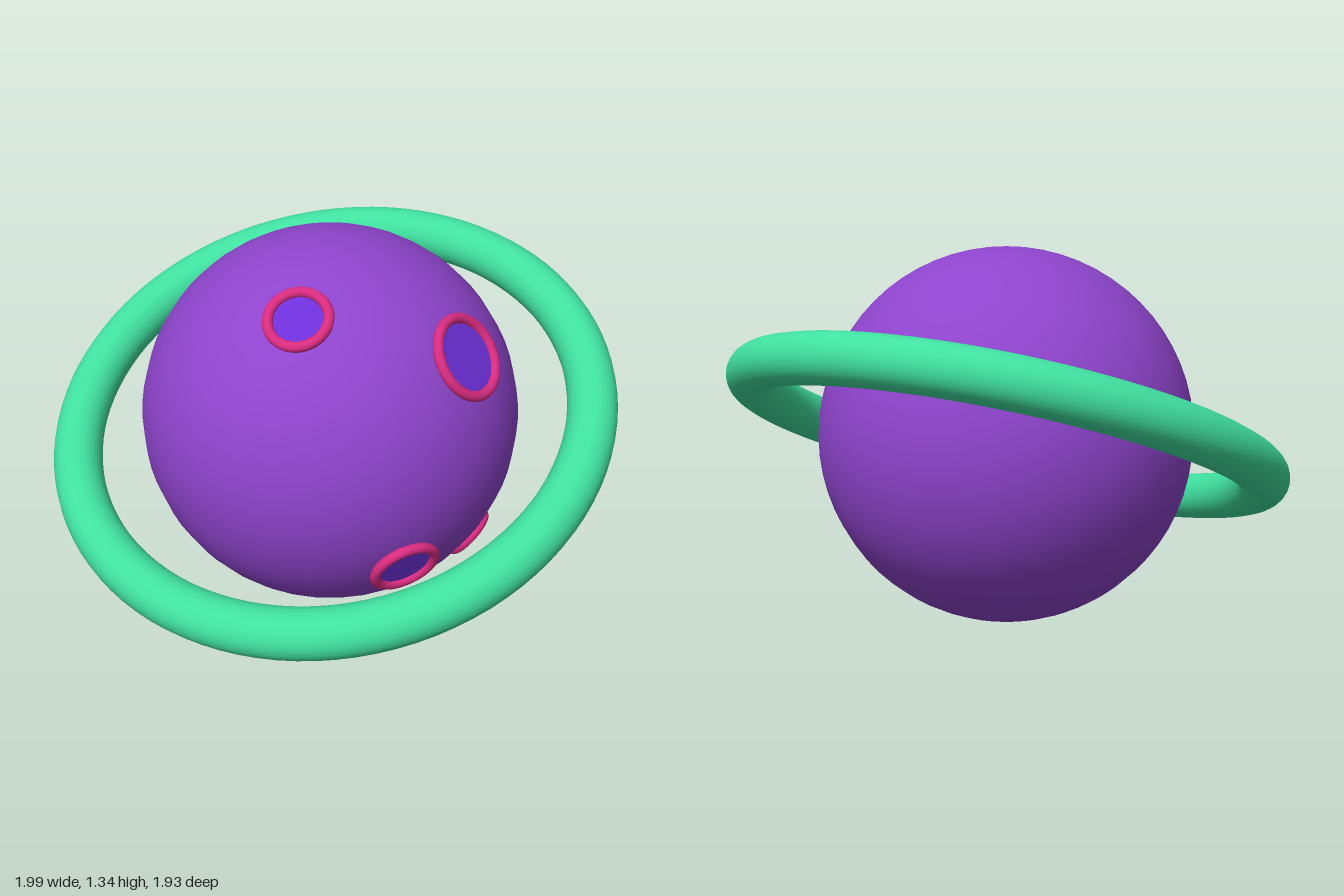
import * as THREE from 'three';

const material = (name, color) => {
  const m = new THREE.MeshStandardMaterial({ color });
  m.name = name;
  return m;
};

export function createModel() {
  const purple = material('planet purple', 0x8e44cc);
  const green = material('ring green', 0x40e0a0);
  const pink = material('crater rim pink', 0xd92b80);
  const violet = material('crater floor violet', 0x6d2fd8);

  const R = 0.668;
  const model = new THREE.Group();
  model.name = 'ringedPlanet';
  const planet = new THREE.Group();
  planet.name = 'planet';
  planet.position.y = 0.67;
  model.add(planet);

  const add = (parent, name, geometry, mat) => {
    const mesh = new THREE.Mesh(geometry, mat);
    mesh.name = name;
    parent.add(mesh);
    return mesh;
  };
  const forward = new THREE.Vector3(0, 0, 1);
  const face = (object, normal) => object.quaternion.setFromUnitVectors(forward, normal);

  add(planet, 'globe', new THREE.SphereGeometry(R, 32, 32), purple);

  // Tilted ring, higher at the back and on the left
  const ring = add(planet, 'ring', new THREE.TorusGeometry(0.926, 0.087, 24, 96), green);
  face(ring, new THREE.Vector3(-0.184, 0.93, 0.318).normalize());

  // Craters: direction from the planet's centre and rim radius
  const craters = [
    [-0.135, 0.56, 0.365, 0.1],
    [0.42, 0.39, 0.357, 0.134],
    [0.205, -0.283, 0.585, 0.108],
    [0.485, -0.428, 0.18, 0.085],
  ];
  craters.forEach(([x, y, z, radius], i) => {
    const crater = new THREE.Group();
    crater.name = `crater${i + 1}`;
    const normal = new THREE.Vector3(x, y, z).normalize();
    crater.position.copy(normal).multiplyScalar(R + 0.006);
    face(crater, normal);
    add(crater, 'craterRim', new THREE.TorusGeometry(radius, 0.018, 12, 40), pink);
    add(crater, 'craterFloor', new THREE.CircleGeometry(radius, 40), violet);
    planet.add(crater);
  });

  return model;
}
